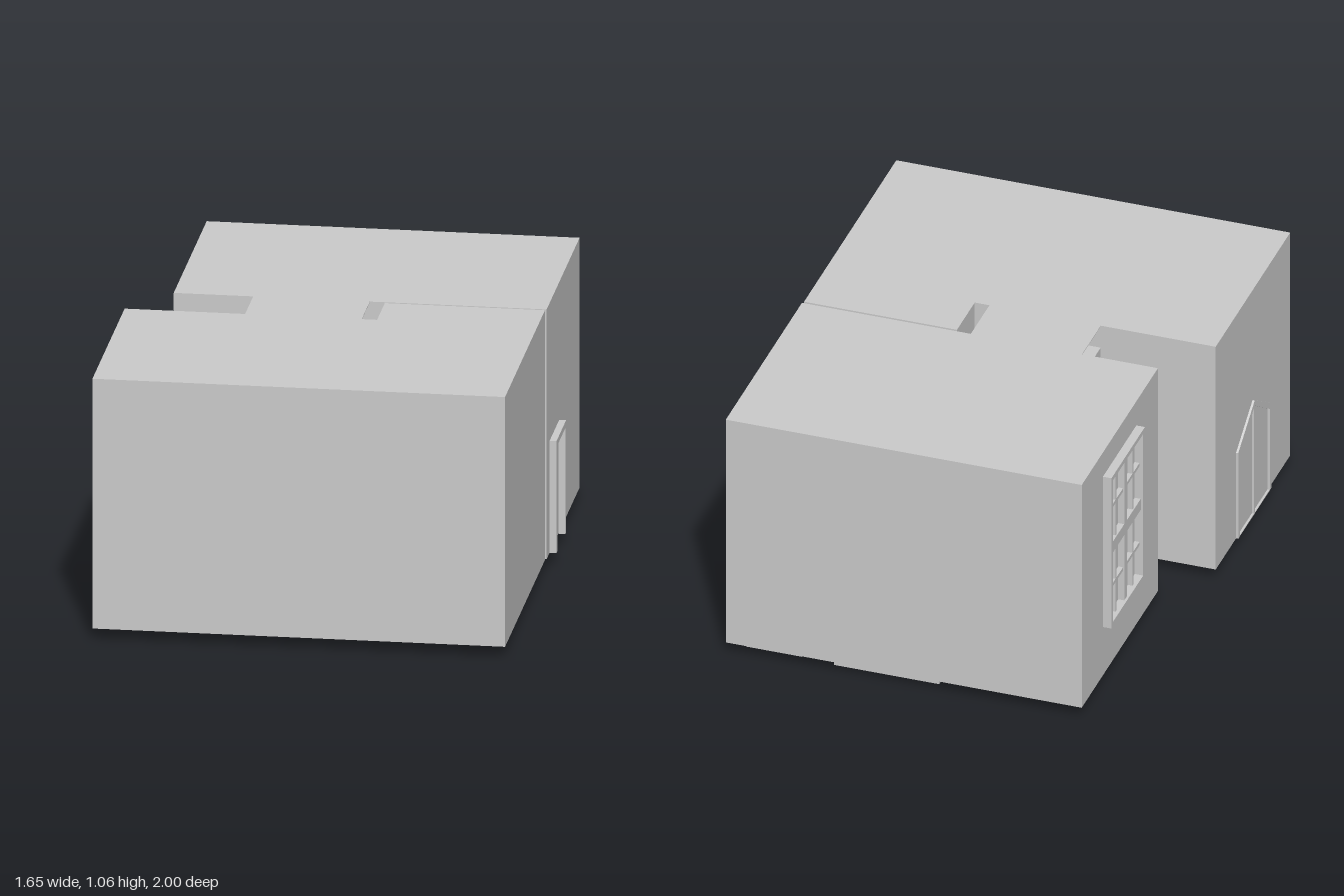
import * as THREE from 'three';

const FLOOR = 0.045, TOP = 1.06;
const mat = new THREE.MeshStandardMaterial({ color: 0xcccccc, flatShading: true });

export function createModel() {
  const model = new THREE.Group();

  const add = (name, geo, parent = model) => {
    const mesh = new THREE.Mesh(geo, mat);
    mesh.name = name;
    parent.add(mesh);
    return mesh;
  };
  const group = (name) => {
    const g = new THREE.Group();
    g.name = name;
    model.add(g);
    return g;
  };
  // box given by its limits on each axis
  const block = (name, [x0, x1], [y0, y1], [z0, z1], parent) => {
    const geo = new THREE.BoxGeometry(x1 - x0, y1 - y0, z1 - z0);
    geo.translate((x0 + x1) / 2, (y0 + y1) / 2, (z0 + z1) / 2);
    return add(name, geo, parent);
  };
  const points = (list) => list.map(([a, b]) => new THREE.Vector2(a, b));

  // rooms
  block('backRoom', [-0.66, 0.795], [FLOOR, TOP], [-1, -0.1]);
  const plan = [[-0.82, 1], [0.79, 1], [0.79, -0.09], [0.165, -0.09], [0.165, 0.12], [-0.82, 0.12]];
  const room = new THREE.ExtrudeGeometry(
    new THREE.Shape(points(plan.map(([x, z]) => [x, -z]))),
    { depth: TOP - FLOOR, bevelEnabled: false });
  room.rotateX(-Math.PI / 2).translate(0, FLOOR, 0);
  add('frontRoom', room);

  // passage between the rooms, with an open strip under its ceiling
  block('passage', [-0.35, 0.105], [FLOOR, 0.96], [-0.1, 0.12]);
  block('passageCeiling', [-0.35, 0.105], [TOP - 0.003, TOP], [-0.1, 0.12]);

  // shallow bases under the floor
  block('largeBase', [-0.06, 0.37], [0, FLOOR], [-0.95, -0.54]);
  block('sideBase', [0.5, 0.73], [0.01, FLOOR], [-0.95, -0.55]);
  block('smallBase', [-0.58, -0.38], [0.015, FLOOR], [-0.37, -0.17]);

  // square door frame on the right wall
  const door = group('doorFrame');
  for (const z of [-0.445, -0.205]) block('jamb', [0.79, 0.822], [FLOOR, 0.5], [z, z + 0.025], door);
  block('lintel', [0.79, 0.822], [0.475, 0.5], [-0.42, -0.205], door);

  // window: outer frame, heavy middle bars and thin glazing bars
  const win = group('window');
  const [wz0, wz1, wy0, wy1] = [-0.75, -0.355, 0.265, 0.95];
  const wzm = (wz0 + wz1) / 2, wym = (wy0 + wy1) / 2;
  const upright = (z, w, x) => block('upright', [x, -0.655], [wy0, wy1], [z - w / 2, z + w / 2], win);
  const rail = (y, w, x) => block('rail', [x, -0.655], [y - w / 2, y + w / 2], [wz0, wz1], win);
  for (const z of [wz0 + 0.01, wz1 - 0.01]) upright(z, 0.02, -0.695);
  for (const y of [wy0 + 0.01, wy1 - 0.01]) rail(y, 0.02, -0.695);
  upright(wzm, 0.035, -0.685);
  rail(wym, 0.05, -0.685);
  for (const s of [-1, 1]) {
    upright(wzm + s * 0.1, 0.012, -0.68);
    rail(wym + s * 0.18, 0.015, -0.68);
  }

  // gabled double door on the left wall
  const gate = group('gabledDoor');
  const gable = (inset, base) => points([
    [0.36 + inset, base], [0.75 - inset, base], [0.75 - inset, 0.435 - inset],
    [0.555, 0.56 - inset * 1.3], [0.36 + inset, 0.435 - inset]]);
  const outline = new THREE.Shape(gable(0, FLOOR));
  outline.holes.push(new THREE.Path(gable(0.018, FLOOR + 0.004)));
  const frame = new THREE.ExtrudeGeometry(outline, { depth: 0.012, bevelEnabled: false });
  frame.rotateY(-Math.PI / 2).translate(-0.817, 0, 0);
  add('gableFrame', frame, gate);
  block('centrePost', [-0.828, -0.815], [FLOOR, 0.54], [0.548, 0.562], gate);

  return model;
}
